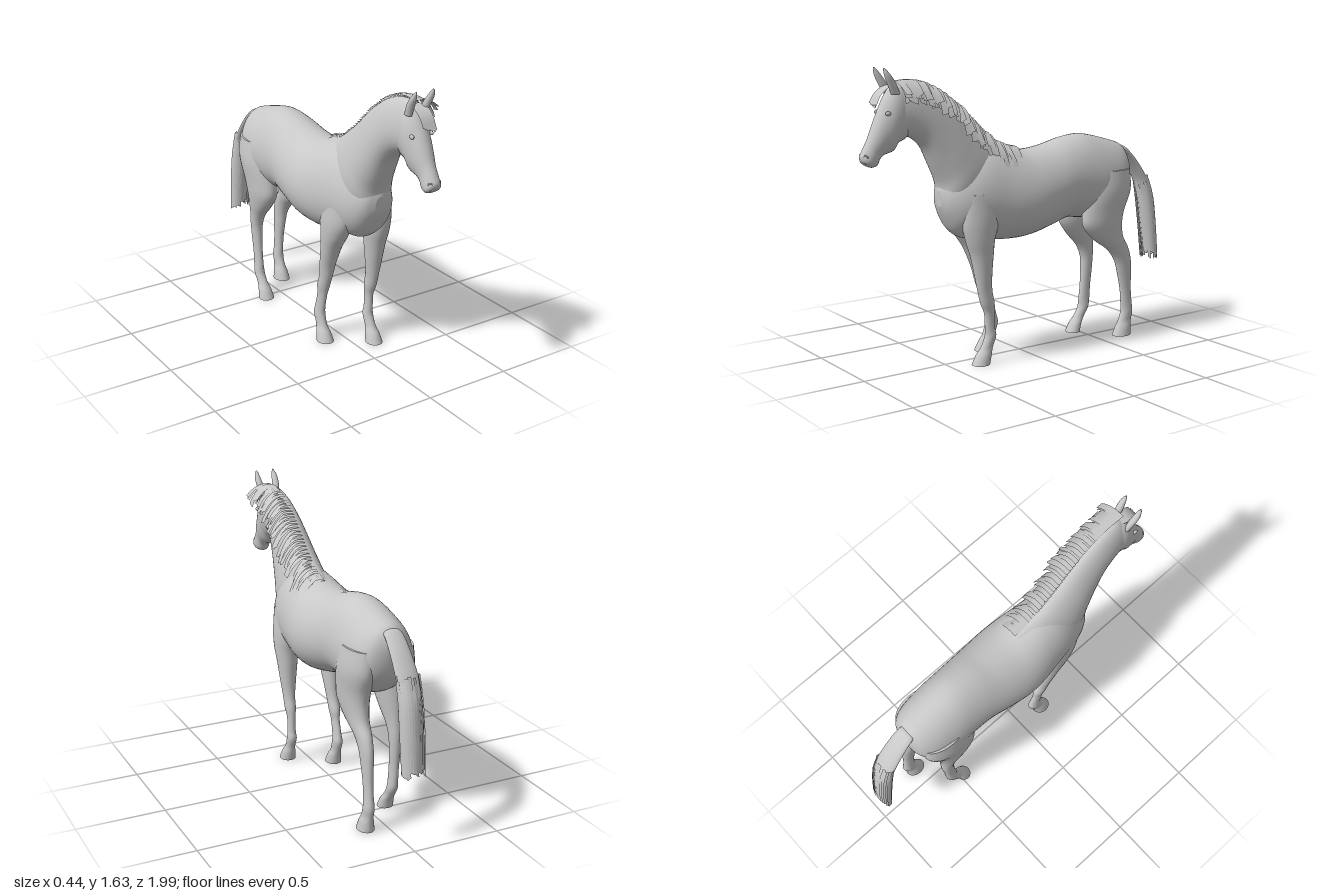
import * as THREE from 'three';
import { mergeGeometries } from 'three/addons/utils/BufferGeometryUtils.js';

const coat = new THREE.MeshStandardMaterial({ color: 0xc8c8c8, side: THREE.DoubleSide });
coat.name = 'grey coat';

// Small seeded random generator for the hair
let seed = 7;
const rand = () => (seed = (seed * 16807) % 2147483647) / 2147483647;
const vary = (a) => (rand() - 0.5) * 2 * a;

// Catmull-Rom through rows of numbers; u runs from 0 to rows.length - 1
function sample(rows, u) {
  const last = rows.length - 1;
  const i = Math.min(Math.floor(u), last - 1), t = u - i;
  const [a, b, c, d] = [i - 1, i, i + 1, i + 2].map((k) => rows[Math.max(0, Math.min(last, k))]);
  return b.map((_, k) => b[k] + 0.5 * t * (c[k] - a[k]
    + t * (2 * a[k] - 5 * b[k] + 4 * c[k] - d[k] + t * (3 * (b[k] - c[k]) + d[k] - a[k]))));
}

// Closed skin over oval sections: row = [x, yA, zA, yB, zB, halfWidth].
// A and B are the two ends of the oval in the side plane; egg moves its widest point.
function loft(rows, { sides = 32, steps = 5, egg = 0 } = {}) {
  const pos = [], idx = [], n = (rows.length - 1) * steps;
  const ring = (r) => {
    const [x, yA, zA, yB, zB, w] = r;
    for (let j = 0; j < sides; j++) {
      const a = (j / sides) * Math.PI * 2, c = Math.cos(a), s = Math.sin(a);
      pos.push(x + Math.max(w, 0.001) * s * (1 + egg * c),
        (yA + yB) / 2 + (c * (yA - yB)) / 2, (zA + zB) / 2 + (c * (zA - zB)) / 2);
    }
  };
  for (let i = 0; i <= n; i++) ring(sample(rows, i / steps));
  for (let i = 0; i < n; i++) for (let j = 0; j < sides; j++) {
    const a = i * sides + j, b = i * sides + ((j + 1) % sides);
    idx.push(a, b, a + sides, b, b + sides, a + sides);
  }
  // Flat end caps with their own vertices
  [rows[0], rows[rows.length - 1]].forEach((r, end) => {
    const start = pos.length / 3;
    ring(r);
    pos.push(r[0], (r[1] + r[3]) / 2, (r[2] + r[4]) / 2);
    for (let j = 0; j < sides; j++) {
      const a = start + j, b = start + ((j + 1) % sides), m = start + sides;
      if (end) idx.push(a, b, m); else idx.push(b, a, m);
    }
  });
  // Turn the faces outward if the volume came out negative
  const p = (i) => new THREE.Vector3().fromArray(pos, i * 3);
  let vol = 0;
  for (let i = 0; i < idx.length; i += 3) vol += p(idx[i]).dot(p(idx[i + 1]).cross(p(idx[i + 2])));
  if (vol < 0) idx.reverse();
  return finish(pos, idx);
}

function finish(pos, idx) {
  const g = new THREE.BufferGeometry();
  g.setAttribute('position', new THREE.Float32BufferAttribute(pos, 3));
  g.setIndex(idx);
  g.computeVertexNormals();
  return g;
}

// Flat lock of hair: path of [x, y, z] points, width vector [x, y, z], ragged tip
function lock(path, width, steps = 3) {
  const pos = [], idx = [], n = (path.length - 1) * steps, skew = vary(0.02);
  for (let i = 0; i <= n; i++) {
    const p = sample(path, i / steps), tip = i === n ? skew : 0;
    for (const s of [-0.5, 0.5]) pos.push(p[0] + s * width[0], p[1] + s * width[1] + s * tip, p[2] + s * width[2]);
    if (i < n) idx.push(2 * i, 2 * i + 1, 2 * i + 2, 2 * i + 1, 2 * i + 3, 2 * i + 2);
  }
  return finish(pos, idx);
}

export function createModel() {
  const horse = new THREE.Group();
  horse.name = 'horse';
  const add = (name, geometry) => {
    const m = new THREE.Mesh(geometry, coat);
    m.name = name;
    horse.add(m);
    return m;
  };
  const centred = (rows) => rows.map((r) => [0, ...r]);

  // Trunk, rump to breast: top y, z, bottom y, z, half width
  add('trunk', loft(centred([
    [1.10, -0.735, 0.99, -0.745, 0.04], [1.135, -0.70, 0.86, -0.72, 0.115], [1.16, -0.63, 0.76, -0.64, 0.165],
    [1.195, -0.50, 0.72, -0.52, 0.183], [1.21, -0.40, 0.725, -0.40, 0.185], [1.195, -0.28, 0.735, -0.29, 0.19],
    [1.165, -0.16, 0.70, -0.16, 0.205], [1.15, -0.02, 0.667, -0.02, 0.218], [1.165, 0.08, 0.66, 0.10, 0.212],
    [1.19, 0.17, 0.67, 0.22, 0.195], [1.20, 0.27, 0.69, 0.32, 0.18], [1.17, 0.36, 0.70, 0.40, 0.162],
    [1.10, 0.45, 0.745, 0.46, 0.13], [1.03, 0.51, 0.82, 0.502, 0.085], [0.97, 0.53, 0.88, 0.525, 0.03],
  ]), { sides: 48, egg: -0.1 }));

  // Neck, withers to poll: crest y, z, throat y, z, half width
  add('neck', loft(centred([
    [1.165, 0.06, 0.78, 0.42, 0.11], [1.21, 0.18, 0.90, 0.51, 0.133], [1.32, 0.33, 1.00, 0.53, 0.122],
    [1.44, 0.46, 1.10, 0.575, 0.103], [1.525, 0.59, 1.20, 0.625, 0.088], [1.56, 0.70, 1.26, 0.69, 0.078],
    [1.553, 0.78, 1.29, 0.77, 0.068], [1.50, 0.83, 1.33, 0.81, 0.05],
  ]), { sides: 40, egg: -0.2 }));

  // Head, poll to lips: face y, z, jaw y, z, half width
  add('head', loft(centred([
    [1.55, 0.74, 1.32, 0.70, 0.055], [1.545, 0.80, 1.265, 0.73, 0.072], [1.50, 0.84, 1.245, 0.775, 0.074],
    [1.43, 0.878, 1.205, 0.805, 0.067], [1.36, 0.91, 1.187, 0.86, 0.056], [1.28, 0.945, 1.165, 0.885, 0.046],
    [1.225, 0.975, 1.137, 0.90, 0.046], [1.19, 0.992, 1.128, 0.93, 0.044], [1.165, 0.988, 1.135, 0.955, 0.03],
  ]), { sides: 36 }));

  // Legs, top to hoof: x, y, front z, back z, half width
  const leg = (name, side, rows) =>
    add(name, loft(rows.map(([x, y, f, b, w]) => [x * side, y, f, y, b, w]), { sides: 24 }));
  const foreY = [0.95, 0.80, 0.70, 0.61, 0.50, 0.41, 0.34, 0.28, 0.20, 0.15, 0.09, 0.05, 0];
  const foreW = [0.06, 0.07, 0.067, 0.057, 0.045, 0.034, 0.031, 0.023, 0.023, 0.028, 0.027, 0.038, 0.047];
  const hindY = [1.0, 0.88, 0.76, 0.68, 0.60, 0.53, 0.46, 0.38, 0.28, 0.20, 0.14, 0.09, 0.05, 0];
  const hindW = [0.07, 0.085, 0.075, 0.068, 0.055, 0.042, 0.035, 0.03, 0.025, 0.025, 0.029, 0.028, 0.038, 0.046];
  const limb = (ys, ws, x, front, back) => ys.map((y, i) => [x, y, front[i], back[i], ws[i]]);
  leg('left front leg', 1, limb(foreY, foreW, 0.111,
    [0.44, 0.445, 0.425, 0.395, 0.37, 0.352, 0.335, 0.312, 0.307, 0.308, 0.335, 0.365, 0.39],
    [0.20, 0.22, 0.25, 0.26, 0.268, 0.265, 0.25, 0.248, 0.247, 0.24, 0.262, 0.272, 0.285]));
  leg('right front leg', -1, limb(foreY, foreW, 0.111,
    [0.42, 0.41, 0.36, 0.30, 0.25, 0.225, 0.20, 0.18, 0.162, 0.157, 0.175, 0.20, 0.227],
    [0.16, 0.16, 0.17, 0.167, 0.152, 0.137, 0.112, 0.107, 0.085, 0.075, 0.095, 0.108, 0.118]));
  leg('left hind leg', 1, limb(hindY, hindW, 0.112,
    [-0.42, -0.385, -0.37, -0.378, -0.45, -0.55, -0.605, -0.63, -0.652, -0.66, -0.662, -0.645, -0.625, -0.605],
    [-0.70, -0.705, -0.66, -0.648, -0.66, -0.70, -0.722, -0.727, -0.728, -0.735, -0.742, -0.733, -0.728, -0.725]));
  leg('right hind leg', -1, limb(hindY, hindW, 0.112,
    [-0.42, -0.385, -0.37, -0.375, -0.43, -0.495, -0.53, -0.535, -0.53, -0.522, -0.515, -0.485, -0.455, -0.43],
    [-0.70, -0.705, -0.66, -0.635, -0.62, -0.615, -0.615, -0.61, -0.60, -0.595, -0.585, -0.555, -0.53, -0.515]));

  // Ears, eyes and nostrils, mirrored
  for (const [word, s] of [['left', 1], ['right', -1]]) {
    add(`${word} ear`, loft([
      [0.045, 1.50, 0.83, 0.78, 0.015], [0.050, 1.55, 0.852, 0.803, 0.019], [0.054, 1.59, 0.87, 0.83, 0.017],
      [0.054, 1.62, 0.878, 0.855, 0.010], [0.052, 1.635, 0.878, 0.870, 0.002],
    ].map(([x, y, f, b, w]) => [x * s, y, f, y, b, w]), { sides: 16 }));
    const eye = add(`${word} eye`, new THREE.SphereGeometry(0.013, 16, 12));
    eye.position.set(0.059 * s, 1.405, 0.858);
    eye.scale.set(0.7, 0.9, 1.2);
    const nostril = add(`${word} nostril`, new THREE.TorusGeometry(0.011, 0.004, 8, 16));
    nostril.position.set(0.029 * s, 1.185, 0.977);
    nostril.rotation.set(0, 0.75 * s, 0);
  }

  // Mane: overlapping locks from the crest falling to the left
  const crest = [[1.56, 0.79], [1.562, 0.70], [1.525, 0.59], [1.44, 0.46], [1.32, 0.33], [1.21, 0.19], [1.168, 0.07]];
  const mane = [];
  for (let i = 0; i < 44; i++) {
    const u = (i / 43) * (crest.length - 1);
    const [y, z] = sample(crest, u);
    const drop = 0.08 + 0.008 * u + vary(0.025), reach = 0.138 + vary(0.015);
    mane.push(lock([[0, y + 0.006, z], [reach * 0.4, y + 0.003, z], [reach * 0.78, y - drop * 0.45, z + vary(0.006)],
      [reach, y - drop, z + vary(0.01)]], [0, 0, 0.035 + vary(0.01)]));
  }
  add('mane', mergeGeometries(mane));

  // Forelock: short locks springing over the forehead
  const forelock = [];
  for (let i = 0; i < 6; i++) {
    const x = -0.028 + i * 0.013, l = rand() * 0.04;
    forelock.push(lock([[x * 0.7, 1.548, 0.79], [x, 1.535, 0.845], [x, 1.50, 0.89], [x, 1.47 - l, 0.912 + l * 0.3]],
      [0.016, 0, 0]));
  }
  add('forelock', mergeGeometries(forelock));

  // Tail dock: flattened curved root
  add('tail root', loft(centred([
    [1.12, -0.70, 1.07, -0.70, 0.045], [1.115, -0.74, 1.07, -0.735, 0.052], [1.04, -0.82, 0.995, -0.80, 0.058],
    [0.93, -0.90, 0.90, -0.86, 0.063], [0.83, -0.95, 0.82, -0.885, 0.062],
  ]), { sides: 24 }));

  // Tail hair: a bundle of long locks around an oval
  const tail = [], count = 26;
  for (let i = 0; i < count; i++) {
    const a = (i / count) * Math.PI * 2, c = Math.cos(a), s = Math.sin(a);
    const at = (y, z, rx, rz) => [rx * c, y, z + rz * s];
    tail.push(lock([at(0.90 + vary(0.035), -0.89, 0.064, 0.025), at(0.80, -0.922, 0.068, 0.036),
      at(0.62, -0.948, 0.069, 0.034), at(0.43 + vary(0.025), -0.968, 0.066, 0.028)],
    [-0.019 * s, 0, 0.019 * c]));
  }
  add('tail hair', mergeGeometries(tail));

  return horse;
}
